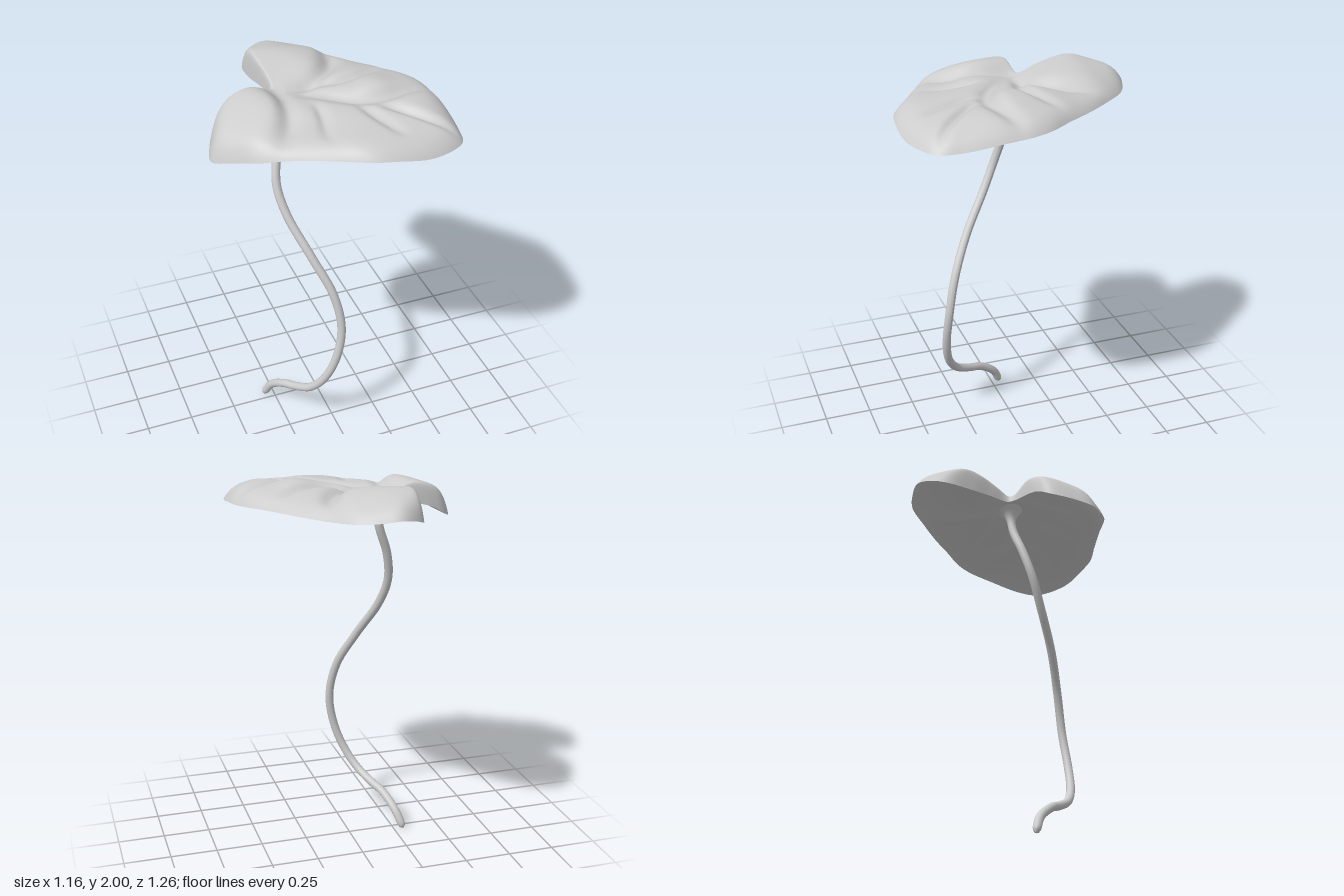
import * as THREE from 'three';

const V = (p) => new THREE.Vector3(...p);

// Leaf outline, clockwise from the back lobe: x, y, z
const RIM = [
  [-0.07, 1.89, -0.63], [0.02, 1.88, -0.61], [0.125, 1.87, -0.555], [0.235, 1.865, -0.425],
  [0.35, 1.87, -0.285], [0.45, 1.875, -0.145], [0.535, 1.875, -0.025], [0.57, 1.87, 0.075],
  [0.58, 1.86, 0.22], [0.565, 1.835, 0.415], [0.535, 1.83, 0.525], [0.47, 1.83, 0.575],
  [0.325, 1.835, 0.62], [0.15, 1.86, 0.62], [0.05, 1.865, 0.6], [-0.08, 1.86, 0.53],
  [-0.25, 1.85, 0.44], [-0.415, 1.82, 0.35], [-0.5, 1.785, 0.255], [-0.58, 1.745, 0.145],
  [-0.56, 1.76, 0.05], [-0.5, 1.79, -0.065], [-0.41, 1.84, -0.1], [-0.23, 1.88, -0.115],
  [-0.195, 1.88, -0.14], [-0.2, 1.875, -0.25], [-0.215, 1.86, -0.385], [-0.209, 1.855, -0.525],
  [-0.155, 1.875, -0.588],
];
// Broad swellings inside the leaf: x, y, z
const HUMPS = [
  [-0.13, 1.91, -0.06], [-0.1, 1.97, -0.22], [-0.06, 2.02, -0.34], [-0.05, 1.98, -0.52],
  [0.08, 1.985, -0.35], [0.1, 1.935, -0.52], [0.25, 1.925, -0.28], [0.2, 1.965, -0.12],
  [0.4, 1.94, -0.05], [0.1, 1.965, 0.04], [0.28, 2.0, 0.06], [0.45, 1.96, 0.06],
  [0.42, 1.97, 0.28], [0.5, 1.94, 0.4], [0.25, 1.945, 0.35], [0.3, 1.925, 0.52],
  [0.08, 1.95, 0.25], [0.1, 1.935, 0.48], [-0.08, 1.95, 0.12], [-0.1, 1.925, 0.36],
  [-0.22, 1.91, 0.34], [-0.28, 2.0, 0.03], [-0.32, 1.985, 0.14], [-0.42, 1.95, 0.03],
  [-0.49, 1.87, 0.12], [-0.4, 1.92, 0.26],
];
// Valleys between the veins: depth, width, path of x, z
const CREASES = [
  [0.035, 0.045, [[-0.12, -0.07], [0.02, -0.09], [0.12, -0.17], [0.175, -0.28], [0.2, -0.46]]],
  [0.028, 0.035, [[-0.03, -0.08], [0.1, -0.02], [0.22, -0.03], [0.38, -0.11]]],
  [0.04, 0.045, [[-0.08, 0], [0.13, 0.16], [0.27, 0.19], [0.4, 0.17], [0.58, 0.12]]],
  [0.03, 0.028, [[0.24, 0.25], [0.38, 0.4], [0.54, 0.54]]],
  [0.025, 0.026, [[0.14, 0.22], [0.18, 0.34], [0.24, 0.5]]],
  [0.022, 0.026, [[-0.05, 0.15], [-0.06, 0.26], [-0.1, 0.42]]],
  [0.035, 0.045, [[-0.18, -0.12], [-0.19, 0.08], [-0.22, 0.22], [-0.3, 0.37]]],
].map(([depth, width, path]) => ({
  depth, width,
  points: new THREE.CatmullRomCurve3(path.map(([x, z]) => V([x, 0, z]))).getPoints(40),
}));
// Stem centre line from the ground up
const STEM = [
  [-0.303, 0.005, -0.048], [-0.27, 0.1, 0], [-0.225, 0.178, 0.1], [-0.19, 0.205, 0.165],
  [-0.135, 0.26, 0.26], [-0.08, 0.35, 0.32], [-0.02, 0.5, 0.35], [0.015, 0.7, 0.34],
  [-0.015, 0.9, 0.295], [-0.1, 1.1, 0.2], [-0.185, 1.3, 0.075], [-0.213, 1.45, 0.005],
  [-0.19, 1.6, -0.04], [-0.137, 1.75, -0.068], [-0.12, 1.883, -0.075],
];

// Height of the leaf skin: smoothed swellings minus creases that fade at both ends
function leafHeight(x, z, spread, creasing) {
  let sum = 0, total = 0;
  for (const [hx, hy, hz] of HUMPS) {
    const w = Math.exp(-((x - hx) ** 2 + (z - hz) ** 2) / spread) + 1e-9;
    sum += w * hy;
    total += w;
  }
  let y = sum / total;
  for (const { depth, width, points } of CREASES) {
    let dip = 0;
    points.forEach((p, i) => {
      const fade = Math.sqrt(Math.sin((Math.PI * i) / 40.001));
      dip = Math.max(dip, fade * Math.exp(-((x - p.x) ** 2 + (z - p.z) ** 2) / width ** 2));
    });
    y -= creasing * depth * dip;
  }
  return y;
}

const topHeight = (x, z) => leafHeight(x, z, 0.015, 1);
const undersideHeight = (x, z) => leafHeight(x, z, 0.025, 0.5) - 0.03;

// One leaf skin: rings growing from the stem to the outline, with the edge turned down
function skinGeometry(height, edgePower, facesUp) {
  const around = 200, rings = 44, cx = -0.13, cz = -0.055;
  const outline = new THREE.CatmullRomCurve3(RIM.map(V), true, 'centripetal');
  const pos = [cx, height(cx, cz), cz], index = [];
  const id = (r, i) => (r === 0 ? 0 : 1 + (r - 1) * around + (i % around));
  const tri = (a, b, c) => index.push(a, ...(facesUp ? [b, c] : [c, b]));
  const rim = Array.from({ length: around }, (_, i) => outline.getPoint(i / around));
  for (let r = 1; r <= rings; r++) {
    const s = 1 - (1 - r / rings) ** 1.4;
    for (const p of rim) {
      const x = cx + (p.x - cx) * s, z = cz + (p.z - cz) * s;
      pos.push(x, THREE.MathUtils.lerp(height(x, z), p.y, s ** edgePower), z);
    }
  }
  for (let r = 0; r < rings; r++) {
    for (let i = 0; i < around; i++) {
      if (r > 0) tri(id(r, i), id(r, i + 1), id(r + 1, i));
      tri(id(r, i + 1), id(r + 1, i + 1), id(r + 1, i));
    }
  }
  const g = new THREE.BufferGeometry();
  g.setAttribute('position', new THREE.Float32BufferAttribute(pos, 3));
  g.setIndex(index);
  g.computeVertexNormals();
  return g;
}

// Stem: a tube with a rounded, tapered foot and a flared top
function stemGeometry() {
  const segments = 200, sides = 16;
  const path = new THREE.CatmullRomCurve3(STEM.map(V), false, 'centripetal');
  const g = new THREE.TubeGeometry(path, segments, 1, sides);
  const p = g.attributes.position, v = new THREE.Vector3();
  for (let i = 0; i <= segments; i++) {
    const t = i / segments, c = path.getPointAt(t);
    const foot = Math.sqrt(1 - Math.max(0, 1 - t / 0.02) ** 2);
    const flare = 0.045 * Math.max(0, (t - 0.955) / 0.045) ** 2.5;
    const radius = 0.0225 * foot + flare;
    for (let j = 0; j <= sides; j++) {
      const k = i * (sides + 1) + j;
      v.fromBufferAttribute(p, k).sub(c).multiplyScalar(radius).add(c);
      p.setXYZ(k, v.x, Math.max(v.y, 0), v.z);
    }
  }
  g.computeVertexNormals();
  return g;
}

export function createModel() {
  const group = new THREE.Group();
  const grey = new THREE.MeshStandardMaterial({ color: 0xcccccc, side: THREE.DoubleSide });
  grey.name = 'pale grey';
  const add = (name, geometry) => {
    const mesh = new THREE.Mesh(geometry, grey);
    mesh.name = name;
    group.add(mesh);
  };
  add('leafTop', skinGeometry(topHeight, 12, true));
  add('leafUnderside', skinGeometry(undersideHeight, 6, false));
  add('stem', stemGeometry());
  return group;
}
